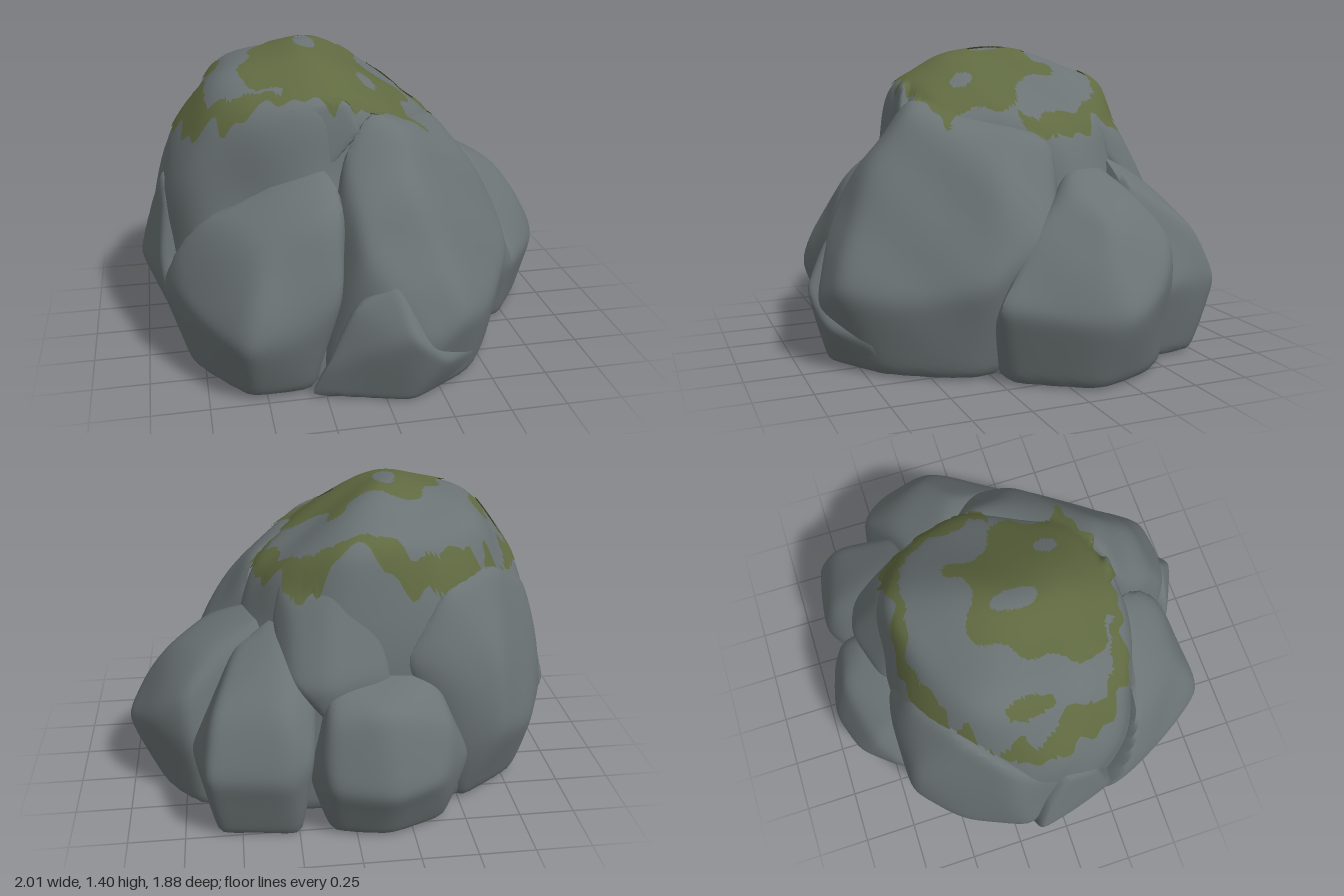
import * as THREE from 'three';
import { mergeVertices, toCreasedNormals } from 'three/addons/utils/BufferGeometryUtils.js';
import { ConvexGeometry } from 'three/addons/geometries/ConvexGeometry.js';

const V = (x, y, z) => new THREE.Vector3(x, y, z);
const SWELL = 1.03; // makes up for what rounding takes off the corners

// A boulder is a rounded convex hull of a few corner points around a centre
function makeBoulder(centre, corners) {
  const c = V(...centre);
  const pos = new ConvexGeometry(corners.map((p) => V(...p).sub(c))).attributes.position;
  const planes = [];
  for (let i = 0; i < pos.count; i += 3) {
    const [a, b, e] = [0, 1, 2].map((k) => V().fromBufferAttribute(pos, i + k));
    const n = b.clone().sub(a).cross(e.sub(a));
    if (n.length() < 1e-8) continue;
    n.normalize();
    if (n.dot(a) < 0) n.negate();
    if (planes.some((q) => q.n.dot(n) > 0.999)) continue;
    // The ground facet stays exactly on y = 0
    const d = Math.max(0.03, n.dot(a)), ground = n.y < -0.98 && Math.abs(d - c.y) < 0.01;
    planes.push({ n, d: ground ? d / SWELL : d });
  }
  // Distance to the surface: facets blend softly, with slight lumps
  const radius = (dir) => {
    let sum = 0;
    for (const { n, d } of planes) {
      const k = n.dot(dir);
      if (k > 0) sum += Math.pow(k / d, 26);
    }
    const r = SWELL * Math.pow(sum, -1 / 26);
    const p = dir.clone().multiplyScalar(r).add(c);
    const lump = Math.sin(p.x * 13 + p.y * 7) + Math.sin(p.z * 15 - p.y * 11 + 1);
    return r * (1 + 0.009 * lump * (1 + Math.min(0, dir.y)));
  };
  return { c, radius };
}

function boulderGeometry({ c, radius }, detail) {
  let geo = new THREE.IcosahedronGeometry(1, detail);
  geo.deleteAttribute('normal');
  geo.deleteAttribute('uv');
  geo = mergeVertices(geo, 1e-5);
  const pos = geo.attributes.position, v = V();
  for (let i = 0; i < pos.count; i++) {
    v.fromBufferAttribute(pos, i).normalize();
    v.multiplyScalar(radius(v)).add(c);
    pos.setXYZ(i, v.x, Math.max(0, v.y), v.z);
  }
  return toCreasedNormals(geo, 0.7);
}

// Height of the highest boulder surface above (x, z)
function topHeight(boulders, x, z) {
  const inside = (y) => boulders.some(({ c, radius }) => {
    const p = V(x, y, z).sub(c), len = p.length();
    return len < 1e-6 || len < radius(p.divideScalar(len));
  });
  let y = 1.5;
  while (y > 0.9 && !inside(y)) y -= 0.025;
  let lo = y, hi = y + 0.025;
  for (let i = 0; i < 8; i++) {
    const m = (lo + hi) / 2;
    if (inside(m)) lo = m; else hi = m;
  }
  return lo;
}

// Moss pattern seen from above; t runs from the cap centre (0) to its rim (1)
function isMoss(x, z, t) {
  const w = 0.12 * Math.sin(x * 21 + z * 9) + 0.1 * Math.sin(z * 27 - x * 14);
  const oval = (cx, cz, rx, rz) => Math.hypot((x - cx) / rx, (z - cz) / rz) + w < 1;
  if (oval(-0.21, -0.04, 0.055, 0.1) || oval(0.03, 0.18, 0.04, 0.055)) return false;
  if (oval(-0.15, 0.12, 0.36, 0.36) || oval(-0.63, -0.1, 0.035, 0.1)) return true;
  if (oval(-0.08, 0.34, 0.36, 0.1)) return true;
  return t > 0.85 + 0.3 * w && !(x > 0.18 && z > 0.0);
}

function mossGeometry(boulders) {
  const cx = -0.2, cz = -0.08, rings = 40, segs = 160;
  const rim = new THREE.CatmullRomCurve3([
    [0.42, -0.1], [0.27, 0.1], [0.27, 0.31], [0.05, 0.39], [-0.15, 0.42], [-0.36, 0.38], [-0.6, 0.34], [-0.77, 0.15],
    [-0.82, -0.1], [-0.75, -0.35], [-0.55, -0.52], [-0.3, -0.58], [0, -0.52], [0.2, -0.55], [0.31, -0.35],
  ].map(([x, z]) => V(x, 0, z)), true).getPoints(segs);
  const verts = [], info = [], index = [];
  for (let i = 0; i <= rings; i++) {
    for (let j = 0; j < segs; j++) {
      const t = i / rings;
      const ragged = 1 + t * t * (0.025 * Math.sin(j * 0.63) + 0.025 * Math.sin(j * 1.17 + 1));
      const x = cx + (rim[j].x - cx) * t * ragged, z = cz + (rim[j].z - cz) * t * ragged;
      const y = topHeight(boulders, x, z);
      const out = V(x - cx, y - 0.75, z - cz).setLength(0.007);
      verts.push(x + out.x, y + out.y, z + out.z);
      info.push({ x, y, z, t });
    }
  }
  const face = (...ids) => {
    const mean = (key) => ids.reduce((s, k) => s + info[k][key], 0) / 3;
    const low = Math.min(...ids.map((k) => info[k].y));
    if (low > 0.98 && isMoss(mean('x'), mean('z'), mean('t'))) index.push(...ids);
  };
  for (let i = 0; i < rings; i++) {
    for (let j = 0; j < segs; j++) {
      const a = i * segs + j, b = i * segs + (j + 1) % segs;
      if (i > 0) face(a, b, a + segs);
      face(b, b + segs, a + segs);
    }
  }
  const geo = new THREE.BufferGeometry();
  geo.setAttribute('position', new THREE.Float32BufferAttribute(verts, 3));
  geo.setIndex(index);
  geo.computeVertexNormals();
  return geo;
}

export function createModel() {
  const rock = new THREE.MeshStandardMaterial({ color: 0x6b7374 });
  rock.name = 'grey rock';
  const mossMat = new THREE.MeshStandardMaterial({ color: 0x606a41, side: THREE.DoubleSide });
  mossMat.name = 'green moss';
  const model = new THREE.Group();
  model.name = 'mossyRocks';
  const add = (name, centre, corners, detail = 18) => {
    const b = makeBoulder(centre, corners);
    const mesh = new THREE.Mesh(boulderGeometry(b, detail), rock);
    mesh.name = name;
    model.add(mesh);
    return b;
  };

  // Large central boulder that carries the moss
  const core = add('mainBoulder', [-0.2, 0.6, -0.08], [
    [-0.78, 0, 0.3], [-0.78, 0, -0.35], [-0.4, 0, -0.65], [0.5, 0, -0.6], [0.72, 0, -0.1], [0.5, 0, 0.5], [0, 0, 0.7], [-0.55, 0, 0.58],
    [-0.93, 0.55, 0.1], [-0.91, 0.6, -0.3], [-0.6, 0.6, -0.64], [0.1, 0.6, -0.66], [0.5, 0.6, -0.4], [-0.84, 0.62, 0.28],
    [-0.88, 0.88, 0.05], [-0.8, 1.07, -0.1], [-0.7, 1.11, 0.3], [-0.63, 1.3, 0.06], [-0.6, 1.25, -0.33],
    [-0.3, 1.27, -0.5], [0.05, 1.22, -0.57], [0.33, 1.05, -0.38], [0.41, 1.03, -0.1], [0.15, 1.15, 0.34],
    [-0.3, 1.25, 0.43], [-0.42, 1.02, 0.43], [-0.24, 1.425, 0], [-0.42, 1.38, -0.1], [-0.1, 1.37, -0.2],
  ], 30);

  // Front boulders
  const slab = add('frontSlab', [0.2, 0.5, 0.35], [
    [-0.25, 0, 0.68], [0.15, 0, 0.82], [0.42, 0, 0.68], [0.6, 0, 0.35], [0.5, 0, -0.2], [-0.1, 0, 0.1],
    [0.15, 0.3, 0.93], [0.35, 0.4, 0.86], [0.58, 0.35, 0.56], [0.72, 0.45, 0.28], [0.68, 0.6, 0], [0.05, 0.6, 0.82],
    [-0.08, 0.72, 0.77], [0.12, 0.91, 0.65], [0, 1.17, 0.42], [0.15, 1.1, 0.48], [-0.14, 1, 0.49],
    [0.42, 1.02, 0.05], [0.4, 1, -0.1], [0.55, 0.83, 0.2],
  ], 24);
  add('frontFoot', [0.1, 0.22, 0.66], [
    [-0.31, 0, 0.74], [0.1, 0, 0.85], [0.42, 0, 0.66], [0.35, 0, 0.45], [-0.2, 0, 0.5], [-0.27, 0.15, 0.79],
    [-0.14, 0.45, 0.81], [0.04, 0.56, 0.82], [0.1, 0.34, 0.95], [0.26, 0.2, 0.89], [0.42, 0.16, 0.72], [0.1, 0.5, 0.5],
  ]);
  add('frontLeftBoulder', [-0.5, 0.42, 0.35], [
    [-0.8, 0, 0.4], [-0.58, 0, 0.7], [-0.3, 0, 0.7], [-0.25, 0, 0.1], [-0.8, 0, 0], [-0.92, 0.35, 0.25],
    [-0.84, 0.38, 0.48], [-0.73, 0.33, 0.66], [-0.6, 0.3, 0.84], [-0.3, 0.35, 0.8], [-0.17, 0.5, 0.75],
    [-0.84, 0.6, 0.35], [-0.72, 0.74, 0.4], [-0.2, 0.98, 0.47], [-0.14, 0.85, 0.58], [-0.5, 0.84, 0.48],
    [-0.5, 0.68, 0.68], [-0.2, 0.77, 0.69],
  ]);
  const knob = add('upperFrontKnob', [-0.24, 1.08, 0.25], [
    [-0.42, 1, 0.39], [-0.35, 1.2, 0.42], [-0.1, 1.22, 0.42], [-0.05, 1.1, 0.46], [-0.2, 0.92, 0.48], [-0.35, 0.95, 0.45],
    [-0.25, 1.25, 0.3], [-0.4, 1.1, 0.1], [0, 1.05, 0.1], [-0.2, 0.85, 0.2],
  ]);

  // Right and back boulders
  add('rightBoulder', [0.6, 0.38, -0.12], [
    [0.91, 0, -0.1], [0.82, 0, -0.37], [0.71, 0, 0.21], [0.35, 0, 0.2], [0.35, 0, -0.45], [0.68, 0, -0.52],
    [1.01, 0.32, -0.2], [0.96, 0.3, -0.02], [0.75, 0.35, 0.28], [0.93, 0.4, -0.38], [0.7, 0.35, -0.57], [0.9, 0.55, -0.15],
    [0.82, 0.66, -0.2], [0.62, 0.78, -0.1], [0.6, 0.78, -0.38], [0.72, 0.6, -0.53], [0.64, 0.65, 0.06],
    [0.4, 0.88, -0.2], [0.35, 0.87, -0.38],
  ]);
  add('backRightBoulder', [0.42, 0.38, -0.5], [
    [0.6, 0, -0.73], [0.25, 0, -0.78], [0.2, 0, -0.3], [0.64, 0, -0.45], [0.64, 0.35, -0.84], [0.28, 0.35, -0.88],
    [0.18, 0.4, -0.82], [0.71, 0.35, -0.58], [0.7, 0.3, -0.4], [0.6, 0.6, -0.72], [0.3, 0.6, -0.81], [0.3, 0.8, -0.6],
    [0.5, 0.78, -0.45], [0.3, 0.92, -0.4], [0.15, 0.83, -0.5],
  ]);
  add('backBoulder', [-0.15, 0.32, -0.6], [
    [-0.4, 0, -0.72], [0.1, 0, -0.78], [-0.15, 0, -0.83], [0.15, 0, -0.4], [-0.45, 0, -0.4], [-0.14, 0.27, -0.96],
    [0.12, 0.3, -0.9], [0.2, 0.3, -0.75], [-0.35, 0.3, -0.9], [-0.51, 0.32, -0.7], [-0.4, 0.53, -0.79],
    [-0.1, 0.62, -0.86], [0.12, 0.57, -0.82], [0.1, 0.7, -0.65], [-0.35, 0.68, -0.62],
  ]);
  const backTop = add('upperBackBoulder', [0.08, 0.8, -0.42], [
    [-0.17, 0.6, -0.66], [-0.13, 0.93, -0.59], [-0.1, 0.7, -0.69], [0.1, 0.7, -0.75], [0.25, 0.7, -0.7], [0.31, 0.73, -0.6],
    [0.33, 0.9, -0.43], [0.26, 0.95, -0.55], [0.29, 1.06, -0.4], [0.1, 1.05, -0.58], [0, 1.12, -0.54], [0.1, 0.5, -0.72],
    [0.1, 0.6, -0.2], [-0.15, 0.9, -0.3],
  ]);

  // Left boulders, running up to the cap at the back
  add('backLeftBoulder', [-0.57, 0.5, -0.33], [
    [-0.8, 0, -0.4], [-0.5, 0, -0.6], [-0.4, 0, -0.3], [-0.75, 0, 0], [-0.98, 0.37, -0.2], [-0.85, 0.35, -0.5],
    [-0.66, 0.4, -0.69], [-0.45, 0.4, -0.69], [-0.93, 0.65, -0.26], [-0.65, 0.73, -0.64], [-0.4, 0.72, -0.69], [-0.22, 0.75, -0.64],
    [-0.4, 1.04, -0.58], [-0.81, 0.97, -0.26], [-0.66, 1.09, -0.4], [-0.4, 1, -0.3], [-0.88, 0.8, 0],
  ], 22);
  add('leftBoulder', [-0.75, 0.4, 0.02], [
    [-0.81, 0, -0.2], [-0.81, 0, 0.2], [-0.5, 0, 0.2], [-0.5, 0, -0.2], [-1.01, 0.35, -0.15], [-0.97, 0.35, 0.06],
    [-0.89, 0.3, 0.26], [-0.92, 0.5, 0.2], [-0.96, 0.6, -0.1], [-0.89, 0.82, 0], [-0.88, 0.72, 0.15], [-0.6, 0.8, -0.2], [-0.6, 0.7, 0.2],
  ]);

  // Moss draped over the top
  const moss = new THREE.Mesh(mossGeometry([core, slab, knob, backTop]), mossMat);
  moss.name = 'mossCap';
  model.add(moss);
  return model;
}
